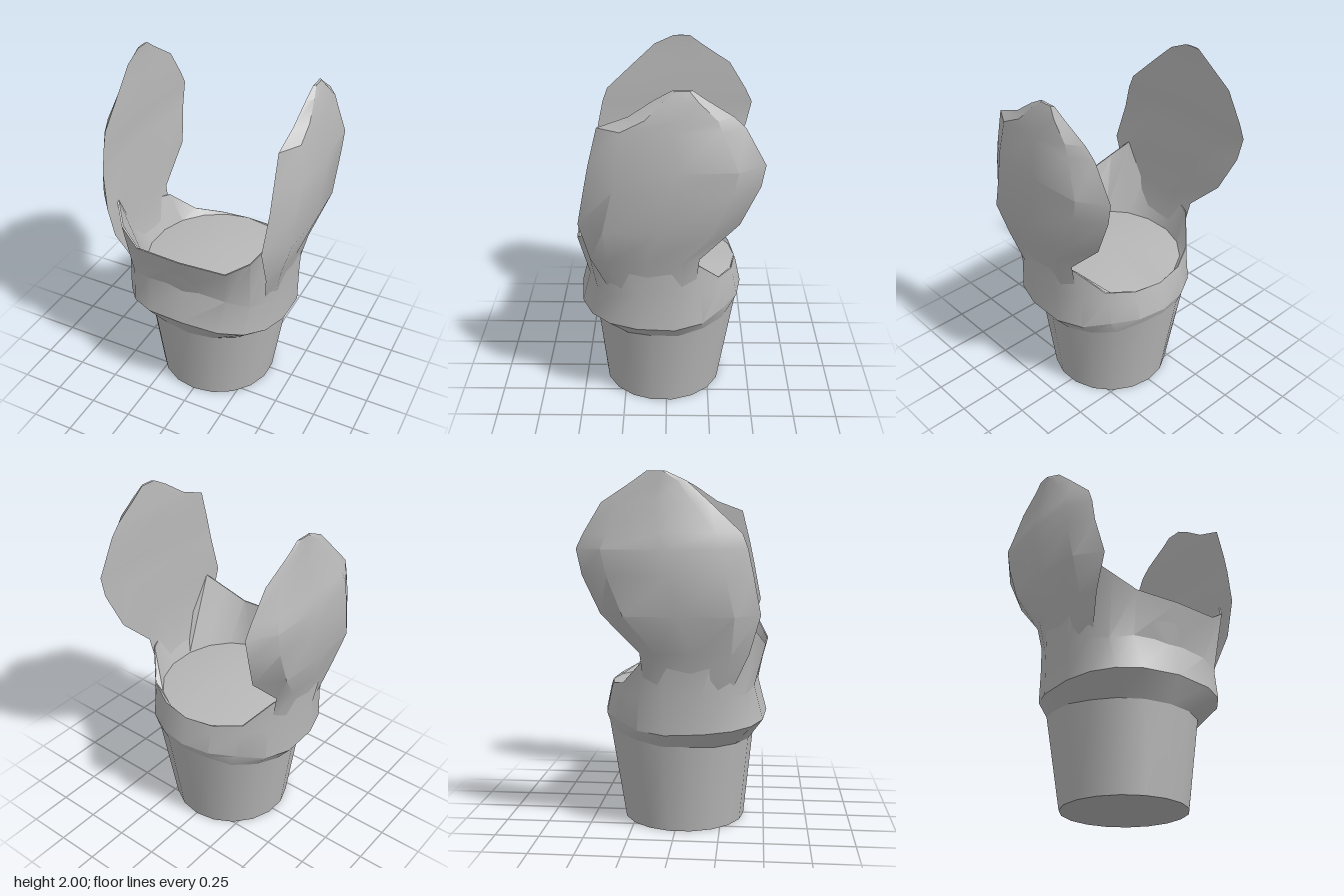
import * as THREE from 'three';
import { toCreasedNormals } from 'three/addons/utils/BufferGeometryUtils.js';

const SIDES = 18;

// Skin a stack of closed rings (counterclockwise seen from above)
function loft(rings, crease) {
  const pos = [];
  const same = (p, q) => p.every((v, i) => Math.abs(v - q[i]) < 1e-6);
  const tri = (a, b, c) => {
    if (!same(a, b) && !same(b, c) && !same(a, c)) pos.push(...a, ...b, ...c);
  };
  for (let k = 0; k < rings.length - 1; k++) {
    const lo = rings[k], hi = rings[k + 1], n = lo.length;
    for (let i = 0; i < n; i++) {
      const j = (i + 1) % n;
      tri(lo[i], lo[j], hi[j]);
      tri(lo[i], hi[j], hi[i]);
    }
  }
  const geo = new THREE.BufferGeometry();
  geo.setAttribute('position', new THREE.Float32BufferAttribute(pos, 3));
  return toCreasedNormals(geo, crease);
}

// Ring collapsed to its centre, optionally raised, used as a cap
function cap(ring, rise = 0) {
  const c = [0, 1, 2].map(a => ring.reduce((s, p) => s + p[a], 0) / ring.length);
  c[1] += rise;
  return ring.map(() => c);
}

// Horizontal ring: round at the back, squarer at the front by exponent e.
// heights is one number, or a list running from front to back.
function ring(heights, rx, zFront, zBack, e = 2) {
  const mid = (zFront + zBack) / 2, half = (zFront - zBack) / 2;
  return Array.from({ length: SIDES }, (_, i) => {
    const t = (i / SIDES) * Math.PI * 2, s = Math.sin(t), c = Math.cos(t);
    const p = 2 / (c > 0 ? e : 2);
    const y = Array.isArray(heights) ? heights[Math.min(i, SIDES - i)] : heights;
    return [rx * Math.sign(s) * Math.abs(s) ** p, y, mid + half * Math.sign(c) * Math.abs(c) ** p];
  });
}

export function createModel() {
  const group = new THREE.Group();
  const grey = new THREE.MeshStandardMaterial({ color: 0xb8b8b8, side: THREE.DoubleSide });
  grey.name = 'plain grey';
  const add = (name, geo) => {
    const mesh = new THREE.Mesh(geo, grey);
    mesh.name = name;
    group.add(mesh);
  };

  // Tapered cup with a flat bottom, running higher at the back
  const base = ring(0, 0.355, 0.38, -0.33);
  const cupTop = ring([0.5, 0.5, 0.5, 0.5, 0.51, 0.51, 0.53, 0.55, 0.59, 0.6], 0.425, 0.43, -0.425, 2.1);
  add('cup', loft([cap(base), base, cupTop], 0.5));

  // Collar: flared rim, raised front and side wall, domed floor inside it
  const wallTop = [1.07, 1.07, 1.15, 1.25, 1.05, 1.02, 0.99, 0.85, 0.82, 0.81];
  const floor = ring(0.81, 0.42, 0.455, -0.395, 2.2);
  add('collar', loft([
    cupTop,
    ring([0.64, 0.63, 0.62, 0.61, 0.6, 0.59, 0.6, 0.64, 0.64, 0.64], 0.495, 0.51, -0.44, 2.7),
    ring([0.85, 0.83, 0.8, 0.81, 0.82, 0.82, 0.8, 0.79, 0.78, 0.78], 0.495, 0.455, -0.41, 3.1),
    ring(wallTop, 0.515, 0.515, -0.4, 3.4),
    ring(wallTop, 0.507, 0.507, -0.398, 3.4),
    floor,
    cap(floor, 0.06),
  ], 0.5));

  // Upright side paddles: height, back z, front z, inner x, outer x
  const root = [
    [0.84, -0.16, 0.32, 0.43, 0.475],
    [1.04, -0.18, 0.41, 0.47, 0.525],
    [1.25, -0.39, 0.47, 0.46, 0.6],
  ];
  const leftLevels = [
    ...root,
    [1.48, -0.49, 0.425, 0.48, 0.6],
    [1.6, -0.51, 0.4, 0.482, 0.605],
    [1.8, -0.4, 0.35, 0.485, 0.57],
    [1.86, -0.34, 0.19, 0.49, 0.56],
    [1.95, -0.2, 0.06, 0.5, 0.54],
    [2.0, -0.13, -0.03, 0.505, 0.52],
  ];
  const rightLevels = [
    ...root,
    [1.46, -0.48, 0.43, 0.5, 0.605],
    [1.6, -0.51, 0.4, 0.5, 0.61],
    [1.68, -0.47, 0.37, 0.505, 0.59],
    [1.84, -0.37, 0.2, 0.515, 0.555],
    [1.95, -0.2, 0.08, 0.525, 0.54],
    [2.0, -0.13, -0.03, 0.525, 0.535],
  ];
  // Section: [share from front to back, share from inner to outer]
  const section = [[0, 0.05], [0.16, 0.86], [0.5, 1], [0.84, 0.88], [1, 0.03],
    [0.75, 0.04], [0.5, 0.08], [0.25, 0.04]];
  const paddle = (name, side, levels) => {
    const rings = levels.map(([y, zb, zf, xi, xo]) => {
      const pts = section.map(([u, v]) => [side * (xi + (xo - xi) * v), y, zf + (zb - zf) * u]);
      return side > 0 ? pts : pts.reverse();
    });
    add(name, loft([cap(rings[0]), ...rings, cap(rings[rings.length - 1])], 0.6));
  };
  paddle('leftPaddle', 1, leftLevels);
  paddle('rightPaddle', -1, rightLevels);
  return group;
}
